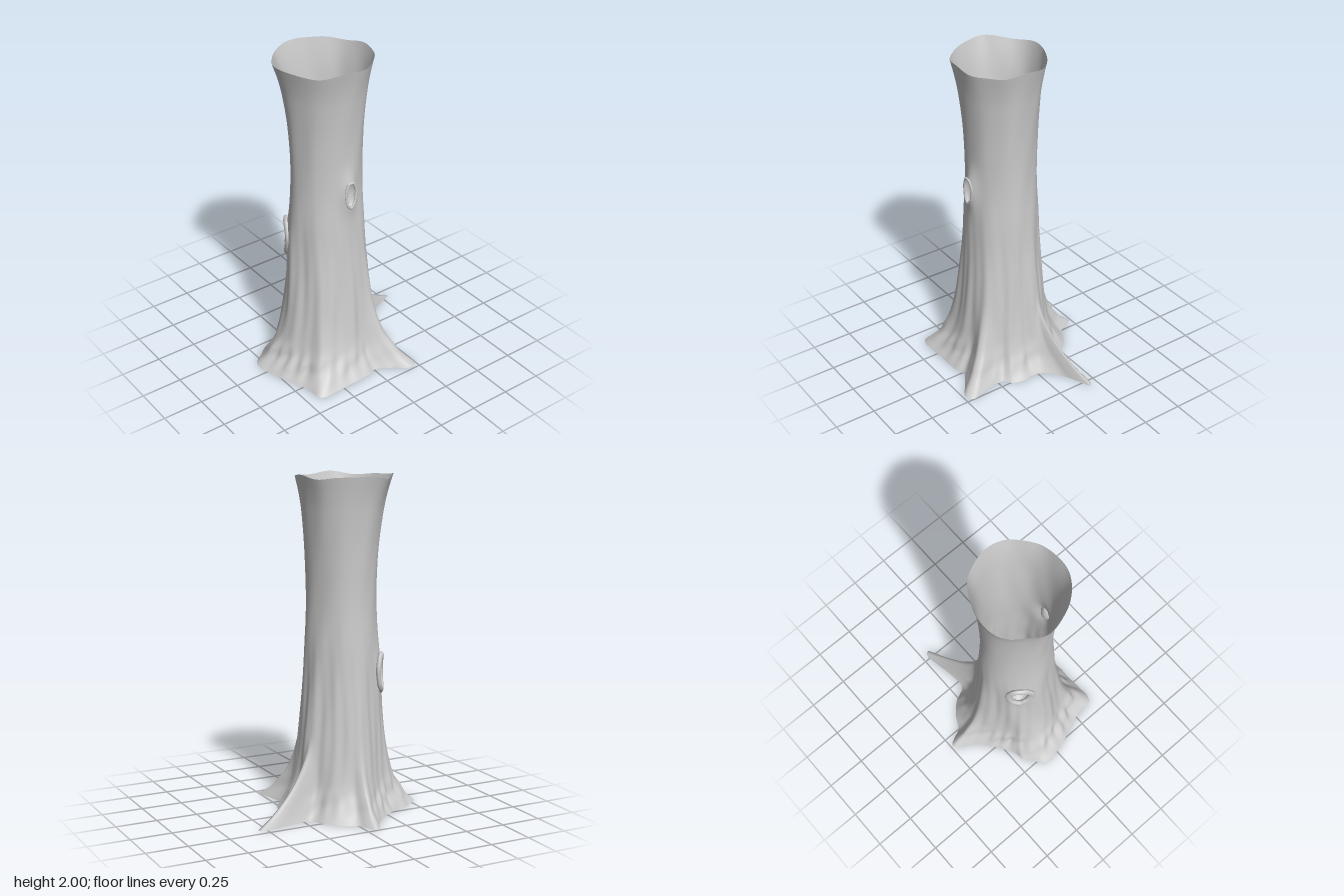
import * as THREE from 'three';

const CX = 0.01, CZ = 0.1, SEG = 300, ROWS = 100;
const material = new THREE.MeshStandardMaterial({ color: 0xcccccc, side: THREE.DoubleSide });

// Ground outline of the root flare, as [x, z]
const OUTLINE = [
  [0.39, 0.05], [0.395, 0.2], [0.405, 0.37], [0.385, 0.42], [0.3, 0.43], [0.2, 0.46], [0.1, 0.5],
  [0, 0.53], [-0.05, 0.545], [-0.12, 0.53], [-0.17, 0.46], [-0.205, 0.42], [-0.21, 0.36],
  [-0.27, 0.27], [-0.33, 0.19], [-0.4, 0.125], [-0.47, 0.09], [-0.49, 0.06], [-0.45, 0.03],
  [-0.39, 0], [-0.34, -0.08], [-0.27, -0.15], [-0.18, -0.21], [-0.18, -0.3], [-0.2, -0.42],
  [-0.215, -0.53], [-0.19, -0.55], [-0.15, -0.45], [-0.1, -0.36], [0, -0.27], [0.1, -0.28],
  [0.17, -0.26], [0.22, -0.21], [0.3, -0.215], [0.4, -0.24], [0.46, -0.25], [0.485, -0.2],
  [0.42, -0.1], [0.37, -0.01],
];
// Outline of the narrowest part of the trunk
const WAIST = [
  [0.22, 0.08], [0.205, 0.18], [0.15, 0.26], [0.08, 0.295], [0, 0.31], [-0.08, 0.28],
  [-0.15, 0.22], [-0.195, 0.14], [-0.2, 0.07], [-0.175, 0], [-0.1, -0.07], [0, -0.11],
  [0.08, -0.105], [0.15, -0.06], [0.2, 0],
];
// Outline of the flared rim at the top
const RIM = [
  [0.28, 0.08], [0.27, 0.2], [0.21, 0.3], [0.1, 0.37], [-0.04, 0.4], [-0.13, 0.35], [-0.22, 0.27],
  [-0.26, 0.18], [-0.25, 0.06], [-0.2, -0.05], [-0.12, -0.13], [0.03, -0.17], [0.13, -0.15],
  [0.2, -0.09], [0.26, -0.01],
];

// Piecewise linear lookup in sorted [key, value] pairs
function lookup(table, k) {
  for (let i = 1; i < table.length; i++) {
    const [k0, v0] = table[i - 1], [k1, v1] = table[i];
    if (k <= k1) return v0 + (v1 - v0) * Math.max(0, (k - k0) / (k1 - k0 || 1));
  }
  return table[table.length - 1][1];
}

// Smooth closed outline turned into radii around the trunk axis
function polarRadii(points) {
  const curve = new THREE.CatmullRomCurve3(
    points.map(([x, z]) => new THREE.Vector3(x - CX, 0, z - CZ)), true, 'centripetal');
  const table = curve.getPoints(400).slice(0, -1)
    .map(p => [Math.atan2(p.z, p.x), Math.hypot(p.x, p.z)]).sort((a, b) => a[0] - b[0]);
  const first = table[0], last = table[table.length - 1];
  table.unshift([last[0] - 2 * Math.PI, last[1]]);
  table.push([first[0] + 2 * Math.PI, first[1]]);
  return Array.from({ length: SEG }, (_, i) => lookup(table, -Math.PI + (i / SEG) * 2 * Math.PI));
}

// Radii averaged over their neighbours, so that thin roots widen as they climb
function soften(radii, reach) {
  return radii.map((_, i) => {
    let sum = 0, total = 0;
    for (let d = -reach; d <= reach; d++) {
      const w = 1 + Math.cos((d / reach) * Math.PI);
      sum += w * radii[(i + d + SEG) % SEG];
      total += w;
    }
    return sum / total;
  });
}

const baseR = polarRadii(OUTLINE), softR = soften(baseR, 24);
const waistR = polarRadii(WAIST), rimR = polarRadii(RIM);

// Smooth profile through [y, value] points
function profile(points) {
  const curve = new THREE.CatmullRomCurve3(
    points.map(([y, v]) => new THREE.Vector3(v, y, 0)), false, 'centripetal');
  const table = curve.getPoints(200).map(p => [p.y, p.x]);
  return y => lookup(table, y);
}
const flare = profile([[0, 1], [0.05, 0.8], [0.1, 0.65], [0.2, 0.46], [0.3, 0.36], [0.4, 0.29],
  [0.6, 0.19], [0.8, 0.11], [1, 0.06], [1.25, 0], [2, 0]]);
const rimBlend = profile([[0, 0], [1.3, 0], [1.45, 0.06], [1.6, 0.17], [1.8, 0.45], [1.9, 0.68], [2, 1]]);

// Knot holes: angle round the trunk, height, half width, half height
const KNOTS = [
  { name: 'frontKnot', a: 2.17, y: 0.835, w: 0.067, h: 0.103, tube: 0.022, bulge: 0.016, depth: 0.075 },
  { name: 'sideKnot', a: -0.04, y: 1.215, w: 0.036, h: 0.08, tube: 0.009, bulge: 0.03, depth: 0.03 },
];

// Offset from a knot in half widths and half heights
function knotDistance(k, a, y) {
  const d = Math.atan2(Math.sin(a - k.a), Math.cos(a - k.a));
  return Math.hypot(d * 0.23 / k.w, (y - k.y) / k.h);
}

// Trunk radius with bark ridges and lumps
function radius(i, y) {
  const a = -Math.PI + (i / SEG) * 2 * Math.PI;
  let r = waistR[i] + (rimR[i] - waistR[i]) * rimBlend(y);
  const root = baseR[i] + (softR[i] - baseR[i]) * THREE.MathUtils.smoothstep(y, 0.1, 0.5);
  r += (root - r) * flare(y);
  const ridgeFade = Math.exp(-(((y - 0.45) / 0.4) ** 2));
  r += 0.005 * ridgeFade * Math.sin(9 * a + 2 * Math.sin(2.3 * y + a))
     + 0.002 * ridgeFade * Math.sin(23 * a + 3 * Math.sin(3 * y));
  r += 0.002 * Math.sin(7 * a + 4 * y) * Math.sin(5 * y + 2 * a);
  // lumpy foot, strongest at the front
  const foot = Math.exp(-(((y - 0.09) / 0.07) ** 2)) * (0.006 + 0.008 * Math.max(0, Math.sin(a)));
  r += foot * Math.sin(17 * a + 25 * y) * Math.sin(9 * a - 14 * y);
  for (const k of KNOTS) r += k.bulge * Math.exp(-0.45 * knotDistance(k, a, y) ** 2);
  return r;
}

function trunk() {
  const pos = [], index = [];
  for (let j = 0; j <= ROWS; j++) {
    const t = j / ROWS, y0 = 2 * (0.55 * t + 0.45 * t * t);
    for (let i = 0; i < SEG; i++) {
      const a = -Math.PI + (i / SEG) * 2 * Math.PI, r = radius(i, y0);
      // uneven lip along the top edge
      const lip = Math.max(0, (y0 - 1.8) / 0.2) * (0.008 * Math.sin(4 * a + 1) + 0.004 * Math.sin(7 * a) - 0.012);
      pos.push(CX + r * Math.cos(a), y0 + lip, CZ + r * Math.sin(a));
      const mid = a + Math.PI / SEG;
      if (j === ROWS || KNOTS.some(k => knotDistance(k, mid, y0 + 0.01) < 0.95)) continue;
      const p = j * SEG + i, q = j * SEG + (i + 1) % SEG;
      index.push(p, p + SEG, q, q, p + SEG, q + SEG);
    }
  }
  const g = new THREE.BufferGeometry();
  g.setAttribute('position', new THREE.Float32BufferAttribute(pos, 3));
  g.setIndex(index);
  g.computeVertexNormals();
  const mesh = new THREE.Mesh(g, material);
  mesh.name = 'trunk';
  return mesh;
}

// Raised bark ring with a hollow pocket behind it
function knot(k) {
  const group = new THREE.Group();
  group.name = k.name;
  const i = Math.round(((k.a + Math.PI) / (2 * Math.PI)) * SEG) % SEG, r = radius(i, k.y);
  group.position.set(CX + r * Math.cos(k.a), k.y, CZ + r * Math.sin(k.a));
  group.rotation.y = Math.PI / 2 - k.a;

  const ringGeo = new THREE.TorusGeometry(1, 0.25, 12, 48);
  const p = ringGeo.attributes.position;
  for (let n = 0; n < p.count; n++) {
    const x = p.getX(n), y = p.getY(n), ang = Math.atan2(y, x), d = Math.hypot(x, y) - 1;
    const wob = 1 + 0.03 * Math.sin(3 * ang + 1) + 0.02 * Math.sin(7 * ang);
    // follow the curve of the trunk
    const sag = -((Math.cos(ang) * k.w) ** 2) / 0.46;
    p.setXYZ(n, Math.cos(ang) * (k.w * wob + d * 4 * k.tube),
      Math.sin(ang) * (k.h * wob + d * 4 * k.tube), p.getZ(n) * 4 * k.tube * 0.7 + sag);
  }
  ringGeo.computeVertexNormals();
  const ring = new THREE.Mesh(ringGeo, material);
  ring.name = 'knotRing';

  const pocketGeo = new THREE.SphereGeometry(1, 32, 12, 0, Math.PI * 2, 0, Math.PI / 2);
  pocketGeo.rotateX(-Math.PI / 2);
  pocketGeo.scale(k.w, k.h, k.depth);
  const pocket = new THREE.Mesh(pocketGeo, material);
  pocket.name = 'knotHollow';
  group.add(ring, pocket);
  return group;
}

export function createModel() {
  const model = new THREE.Group();
  model.name = 'hollowTreeTrunk';
  model.add(trunk(), ...KNOTS.map(knot));
  return model;
}
